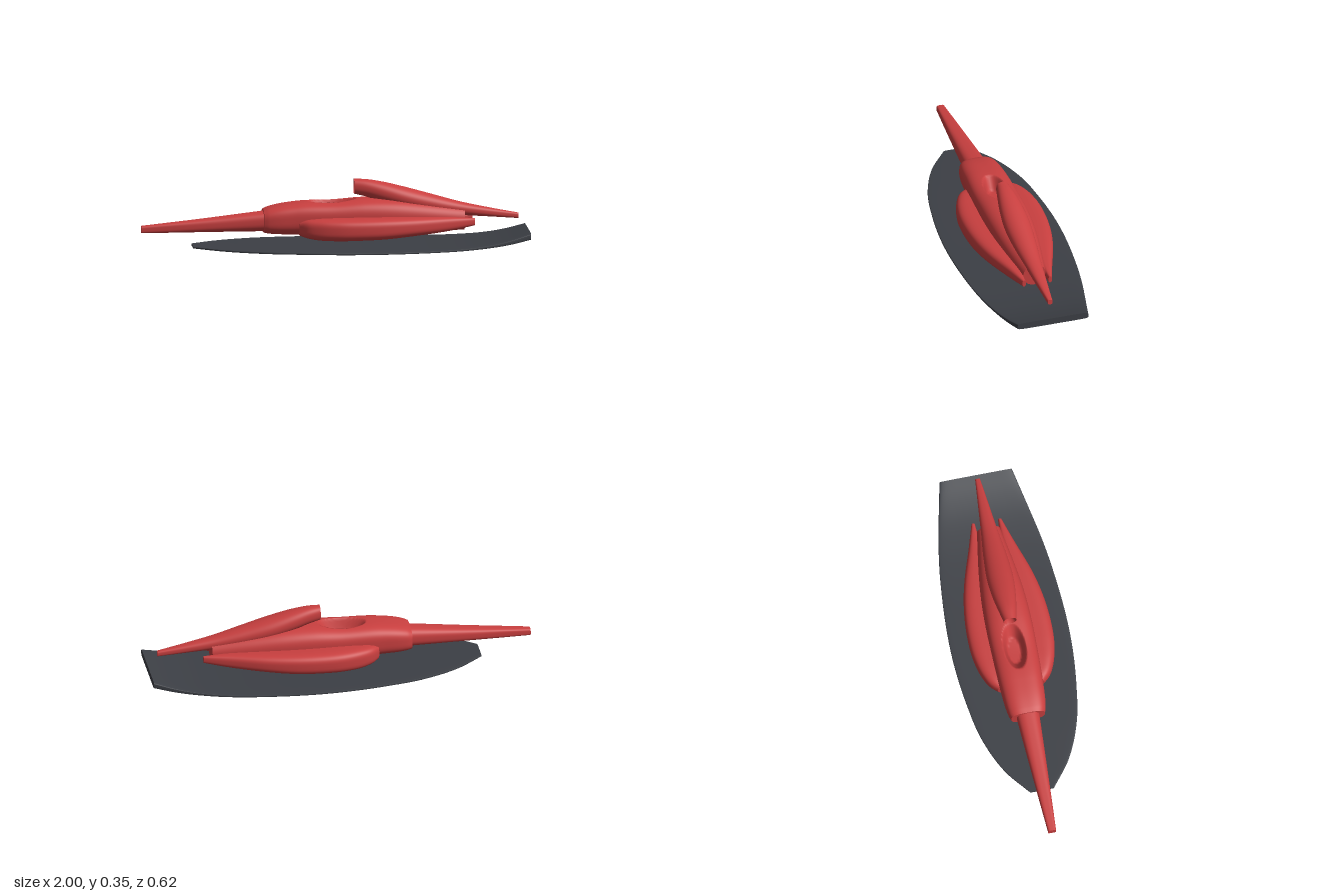
import * as THREE from 'three';

const red = new THREE.MeshStandardMaterial({ color: 0xc83f3f, side: THREE.DoubleSide });
const dark = new THREE.MeshStandardMaterial({ color: 0x3c3f45, side: THREE.DoubleSide });

// Lofts a smooth skin along x through stations [x, yBottom, yTop, zMin, zMax, squareness].
// warp(p) may move each point; caps close the two ends.
function loft(name, stations, material, { steps = 60, sides = 64, capStart = true, capEnd = true, warp } = {}) {
  const xs = stations.map((s) => s[0]);
  const spline = new THREE.CubicInterpolant(xs, stations.flatMap((s) => s.slice(1)), 5);
  const pos = [], idx = [];
  const first = xs[0], last = xs[xs.length - 1];
  const p = new THREE.Vector3();
  const power = (v, e) => Math.sign(v) * Math.abs(v) ** e;

  for (let i = 0; i <= steps; i++) {
    const x = first + ((last - first) * i) / steps;
    const [y0, y1, z0, z1, n] = spline.evaluate(x);
    for (let j = 0; j < sides; j++) {
      const a = (j / sides) * Math.PI * 2;
      p.set(x,
        (y0 + y1) / 2 + ((y1 - y0) / 2) * power(Math.sin(a), 2 / n),
        (z0 + z1) / 2 + ((z1 - z0) / 2) * power(Math.cos(a), 2 / n));
      if (warp) warp(p);
      pos.push(p.x, p.y, p.z);
    }
  }
  for (let i = 0; i < steps; i++) {
    for (let j = 0; j < sides; j++) {
      const k = (j + 1) % sides;
      const a = i * sides + j, b = i * sides + k;
      idx.push(a, a + sides, b + sides, a, b + sides, b);
    }
  }
  // flat caps use their own vertices so the end edges stay sharp
  const cap = (row, flip) => {
    const base = pos.length / 3;
    const s = stations[row ? stations.length - 1 : 0];
    pos.push(s[0], (s[1] + s[2]) / 2, (s[3] + s[4]) / 2);
    for (let j = 0; j < sides * 3; j++) pos.push(pos[row * sides * 3 + j]);
    pos.length = (base + 1 + sides) * 3;
    for (let j = 0; j < sides; j++) {
      const a = base + 1 + j, b = base + 1 + ((j + 1) % sides);
      idx.push(base, flip ? b : a, flip ? a : b);
    }
  };
  if (capStart) cap(0, false);
  if (capEnd) cap(steps, true);

  const geo = new THREE.BufferGeometry();
  geo.setAttribute('position', new THREE.Float32BufferAttribute(pos, 3));
  geo.setIndex(idx);
  geo.computeVertexNormals();
  const mesh = new THREE.Mesh(geo, material);
  mesh.name = name;
  return mesh;
}

// Stations symmetric about z = 0: [x, yBottom, yTop, halfWidth, squareness]
const centred = (list) => list.map(([x, y0, y1, w, n]) => [x, y0, y1, -w, w, n]);

// Presses the cockpit opening into the top of the body
function cockpitDent(p) {
  if (p.y < 0.19) return;
  const r = Math.hypot((p.x + 0.015) / 0.125, p.z / 0.058);
  if (r < 1) p.y -= 0.07 * Math.min(1, (1 - r) * 2.5);
}

export function createModel() {
  const model = new THREE.Group();

  // floor: thin plate that kicks up at the rear
  model.add(loft('floor', centred([
    [-0.735, 0.011, 0.021, 0.062, 8],
    [-0.6, 0.009, 0.02, 0.165, 8],
    [-0.4, 0.006, 0.019, 0.25, 8],
    [-0.2, 0.004, 0.017, 0.288, 8],
    [0, 0.002, 0.015, 0.308, 8],
    [0.2, 0.001, 0.014, 0.31, 8],
    [0.5, 0.004, 0.016, 0.287, 8],
    [0.65, 0.008, 0.022, 0.265, 8],
    [0.8, 0.018, 0.037, 0.235, 8],
    [0.9, 0.03, 0.057, 0.213, 8],
    [1, 0.05, 0.086, 0.19, 8],
  ]), dark));

  // long tapered nose
  model.add(loft('nose', centred([
    [-1, 0.087, 0.123, 0.021, 4],
    [-0.7, 0.089, 0.155, 0.04, 3],
    [-0.36, 0.09, 0.195, 0.06, 2.6],
  ]), red, { steps: 24 }));

  // main body with cockpit opening
  model.add(loft('body', centred([
    [-0.37, 0.085, 0.202, 0.088, 3],
    [-0.345, 0.08, 0.213, 0.097, 3],
    [-0.2, 0.074, 0.239, 0.112, 3],
    [0, 0.07, 0.245, 0.119, 3],
    [0.15, 0.069, 0.256, 0.12, 2.8],
    [0.3, 0.07, 0.253, 0.113, 2.6],
    [0.45, 0.075, 0.236, 0.096, 2.4],
    [0.67, 0.084, 0.203, 0.061, 2],
  ]), red, { steps: 180, sides: 128, warp: cockpitDent }));

  // side pods, mirrored left and right
  const pod = [
    [-0.19, 0.078, 0.145, 0.06, 0.122, 3],
    [-0.16, 0.068, 0.157, 0.055, 0.155, 3],
    [-0.1, 0.058, 0.165, 0.05, 0.187, 3.2],
    [0, 0.054, 0.169, 0.045, 0.213, 3.2],
    [0.1, 0.055, 0.17, 0.04, 0.22, 3.2],
    [0.25, 0.06, 0.17, 0.04, 0.211, 3.2],
    [0.4, 0.072, 0.168, 0.042, 0.182, 3],
    [0.6, 0.093, 0.16, 0.053, 0.117, 2.8],
    [0.72, 0.115, 0.152, 0.061, 0.079, 2.6],
  ];
  model.add(loft('leftSidePod', pod, red));
  model.add(loft('rightSidePod', pod.map(([x, y0, y1, a, b, n]) => [x, y0, y1, -b, -a, n]), red));

  // air intake and engine cover, swept down to the tail
  model.add(loft('engineCover', centred([
    [0.1, 0.278, 0.354, 0.033, 2.4],
    [0.16, 0.263, 0.352, 0.045, 2.3],
    [0.25, 0.232, 0.337, 0.06, 2.2],
    [0.36, 0.2, 0.31, 0.068, 2.1],
    [0.5, 0.175, 0.271, 0.06, 2.1],
    [0.65, 0.16, 0.229, 0.043, 2.2],
    [0.8, 0.15, 0.196, 0.028, 2.5],
    [0.95, 0.139, 0.167, 0.013, 3],
  ]), red, { capStart: false }));

  // hollow duct inside the intake
  model.add(loft('intakeDuct', centred([
    [0.1, 0.278, 0.354, 0.033, 2.4],
    [0.115, 0.279, 0.347, 0.028, 2.4],
    [0.2, 0.27, 0.32, 0.025, 2.4],
  ]), red, { steps: 16, capStart: false }));

  return model;
}
